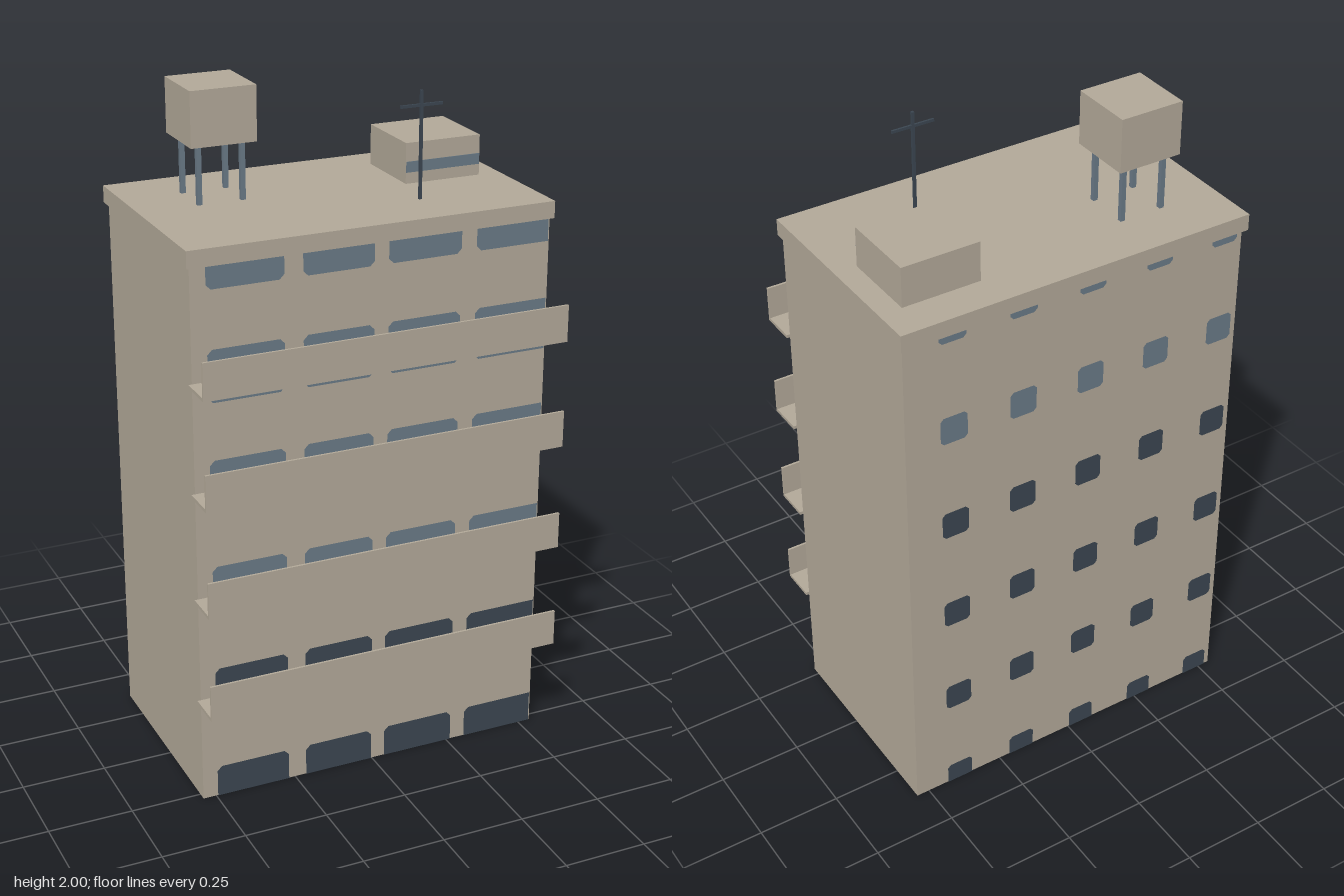
import * as THREE from 'three';

const mat = (name, color) => {
  const m = new THREE.MeshStandardMaterial({ color });
  m.name = name;
  return m;
};

export function createModel() {
  const concrete = mat('concrete', 0xb3a999);
  const darkGlass = mat('dark glass', 0x3b4651);
  const lightGlass = mat('light glass', 0x6a7a87);
  const model = new THREE.Group();
  model.name = 'apartmentBlock';

  // Box given by its extents on each axis
  const box = (name, m, [x0, x1], [y0, y1], [z0, z1], parent = model) => {
    const mesh = new THREE.Mesh(new THREE.BoxGeometry(x1 - x0, y1 - y0, z1 - z0), m);
    mesh.position.set((x0 + x1) / 2, (y0 + y1) / 2, (z0 + z1) / 2);
    mesh.name = name;
    parent.add(mesh);
    return mesh;
  };

  // Flat pane with clipped corners: cuts in order bottom-left, bottom-right, top-right, top-left
  const pane = (x0, x1, y0, y1, cuts, c = 0.014) => {
    const [a, b, d, e] = cuts.map(k => (k ? c : 0));
    const pts = [[x0 + a, y0], [x1 - b, y0], [x1, y0 + b], [x1, y1 - d],
      [x1 - d, y1], [x0 + e, y1], [x0, y1 - e], [x0, y0 + a]];
    const clean = pts.filter((p, i) => {
      const q = pts[(i + 1) % pts.length];
      return Math.hypot(p[0] - q[0], p[1] - q[1]) > 1e-6;
    });
    return new THREE.ShapeGeometry(new THREE.Shape(clean.map(p => new THREE.Vector2(...p))));
  };
  const addPane = (name, geometry, m, z, parent) => {
    const mesh = new THREE.Mesh(geometry, m);
    mesh.position.z = z;
    if (z < 0) mesh.rotation.y = Math.PI;
    mesh.name = name;
    parent.add(mesh);
  };

  // Main block and roof slab
  const wallTop = 1.62, front = 0.275, back = -0.37, storey = 0.322;
  box('walls', concrete, [-0.54, 0.54], [0, wallTop], [back, front]);
  box('roofSlab', concrete, [-0.55, 0.55], [wallTop, 1.67], [-0.385, 0.285]);

  // Front windows, cut off by the ground, the roof and the right-hand edge
  const frontWindows = new THREE.Group();
  frontWindows.name = 'frontWindows';
  model.add(frontWindows);
  const columns = [[-0.495, -0.27], [-0.215, -0.003], [0.04, 0.263], [0.31, 0.536]];
  for (let row = 0; row < 6; row++) {
    const y0 = Math.max(0, -0.057 + row * storey);
    const y1 = Math.min(wallTop, 0.096 + row * storey);
    const low = row > 0, high = row < 5;
    columns.forEach(([x0, x1], i) => {
      const open = i < 3;
      const add = (a, b, lo, hi, m) => addPane('frontWindow',
        pane(x0, x1, a, b, [lo, lo && open, hi && open, hi]), m, front + 0.002, frontWindows);
      if (row === 2) {
        add(y0, 0.69, true, false, darkGlass);
        add(0.69, y1, false, true, lightGlass);
      } else add(y0, y1, low, high, row < 2 ? darkGlass : lightGlass);
    });
  }

  // Small back windows
  const backWindows = new THREE.Group();
  backWindows.name = 'backWindows';
  model.add(backWindows);
  for (let row = 0; row < 6; row++) {
    const y0 = Math.max(0, -0.02 + row * storey);
    const y1 = Math.min(wallTop, 0.066 + row * storey);
    for (let i = 0; i < 5; i++) {
      const x = -0.391 + i * 0.218; // local x, turned round to face the back
      addPane('backWindow', pane(x - 0.042, x + 0.042, y0, y1,
        [row > 0, row > 0, row < 5, row < 5], 0.01),
      row < 4 ? darkGlass : lightGlass, back - 0.002, backWindows);
    }
  }

  // Balconies: a thin floor with a front parapet, open at the ends
  for (let i = 0; i < 4; i++) {
    const y = 0.318 + i * storey;
    const balcony = new THREE.Group();
    balcony.name = 'balcony';
    model.add(balcony);
    box('balconyFloor', concrete, [-0.55, 0.55], [y, y + 0.01], [front, 0.377], balcony);
    box('balconyParapet', concrete, [-0.55, 0.55], [y, y + 0.11], [0.377, 0.384], balcony);
  }

  // Water tank on four legs
  box('waterTank', concrete, [-0.4, -0.205], [1.84, 2], [-0.255, -0.06]);
  for (const x of [-0.368, -0.238]) {
    for (const z of [-0.222, -0.092]) {
      box('tankLeg', lightGlass, [x - 0.007, x + 0.007], [1.67, 1.84], [z - 0.007, z + 0.007]);
    }
  }

  // Stair house with a window band
  box('stairHouse', concrete, [0.245, 0.482], [1.67, 1.79], [-0.275, -0.04]);
  box('stairHouseWindow', lightGlass, [0.246, 0.481], [1.703, 1.735], [-0.041, -0.038]);

  // Aerial
  box('aerialMast', darkGlass, [0.211, 0.219], [1.67, 1.98], [0.107, 0.115]);
  box('aerialCrossbar', darkGlass, [0.15, 0.28], [1.934, 1.942], [0.108, 0.114]);
  return model;
}
